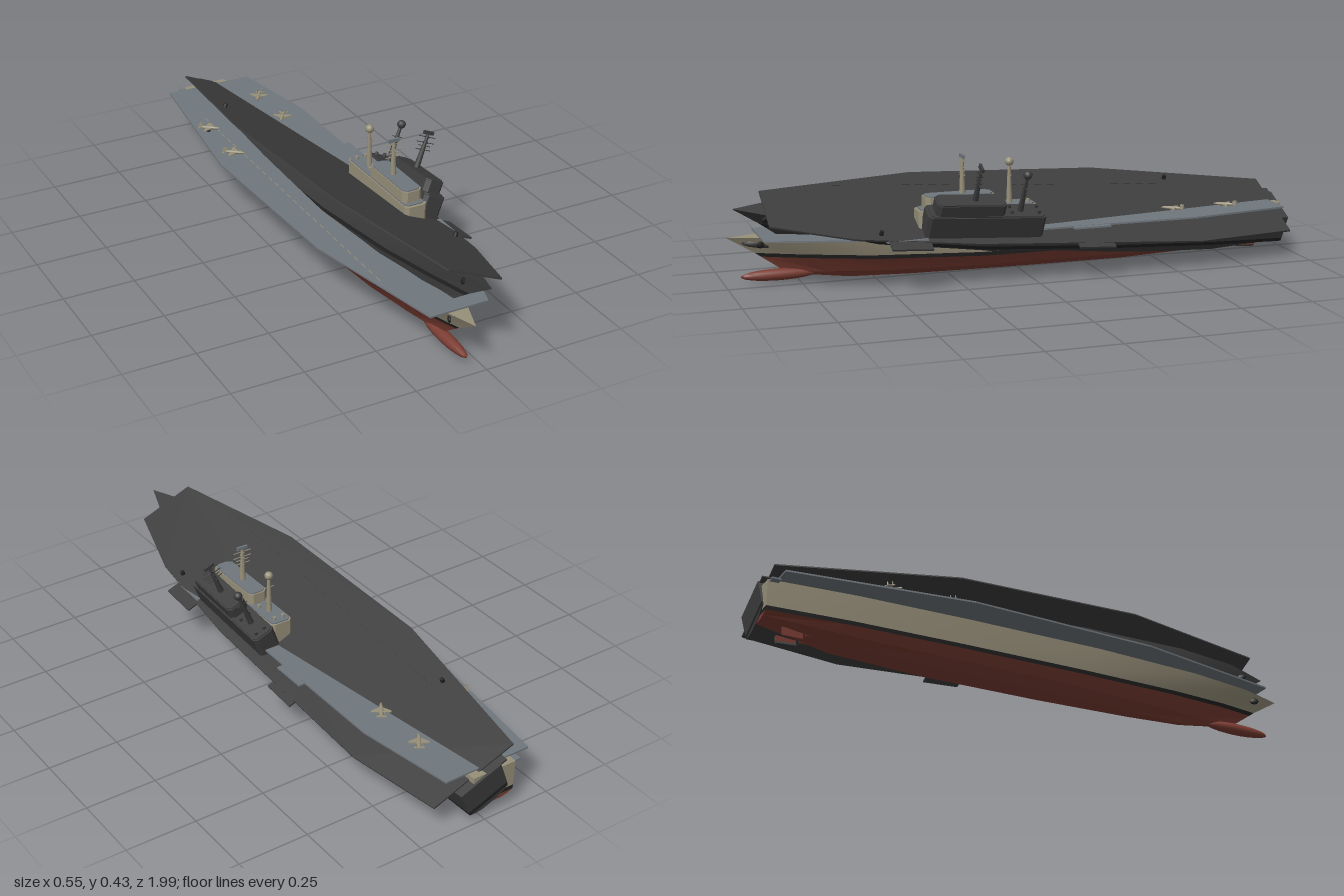
import * as THREE from 'three';
import { toCreasedNormals } from 'three/addons/utils/BufferGeometryUtils.js';

const mat = (name, color) => Object.assign(new THREE.MeshStandardMaterial({ color }), { name });
const CX = -0.042; // hull centreline
const DECK = 0.17; // flight deck surface

// Hull rows, keel to sheer: bow z, then half-width and height at each station, stern to bow
const U = [0, 0.15, 0.35, 0.6, 0.8, 0.92, 1];
const stripeY = [0.06, 0.06, 0.06, 0.062, 0.073, 0.085, 0.093];
const stripeW = [0.078, 0.097, 0.106, 0.105, 0.077, 0.038, 0];
const keelY = [0.045, 0.012, 0, 0, 0, 0.004, 0.02];
const all = (v) => U.map(() => v);
const ROWS = {
  centre: { bow: 0.72, w: all(0), y: keelY },
  keel: { bow: 0.72, w: [0.03, 0.04, 0.042, 0.038, 0.022, 0.01, 0], y: keelY },
  chine: { bow: 0.8, w: [0.055, 0.08, 0.086, 0.084, 0.055, 0.024, 0], y: [0.05, 0.03, 0.025, 0.025, 0.025, 0.03, 0.037] },
  low: { bow: 0.88, w: stripeW, y: stripeY },
  high: { bow: 0.9, w: stripeW.map((v) => v * 1.02), y: stripeY.map((v) => v + 0.014) },
  sheer: { bow: 0.995, w: [0.082, 0.105, 0.115, 0.115, 0.092, 0.055, 0], y: all(0.165) },
  ridge: { bow: 0.995, w: all(0), y: all(0.165) },
};

// Plating between neighbouring rows, mirrored, closed at the transom
function plating(...names) {
  const out = [];
  const quad = (a, b, c, d) => out.push(...a, ...b, ...c, ...a, ...c, ...d);
  for (let n = 0; n < names.length - 1; n++) {
    const p = (k, i, s) => {
      const r = ROWS[names[n + k]];
      return [CX + s * r.w[i], r.y[i], -0.985 + U[i] * (r.bow + 0.985)];
    };
    for (let i = 0; i < U.length - 1; i++) {
      quad(p(0, i, 1), p(1, i, 1), p(1, i + 1, 1), p(0, i + 1, 1));
      quad(p(0, i, -1), p(0, i + 1, -1), p(1, i + 1, -1), p(1, i, -1));
    }
    quad(p(0, 0, 1), p(0, 0, -1), p(1, 0, -1), p(1, 0, 1));
  }
  const g = new THREE.BufferGeometry();
  g.setAttribute('position', new THREE.Float32BufferAttribute(out, 3));
  return toCreasedNormals(g, 0.35);
}

// Flat plan [x, z] raised to a prism from y0 to y1
function prism(plan, y0, y1) {
  const shape = new THREE.Shape(plan.map(([x, z]) => new THREE.Vector2(x, -z)));
  return new THREE.ExtrudeGeometry(shape, { depth: y1 - y0, bevelEnabled: false }).rotateX(-Math.PI / 2).translate(0, y0, 0);
}

function ship(name, m, aircraft) {
  const group = new THREE.Group();
  group.name = name;
  const add = (part, geo, material, x = 0, y = 0, z = 0, parent = group) => {
    const mesh = new THREE.Mesh(geo, material);
    mesh.name = part;
    mesh.position.set(x, y, z);
    parent.add(mesh);
    return mesh;
  };
  const box = (part, material, x, y, z, w, h, d, parent) =>
    add(part, new THREE.BoxGeometry(w, h, d), material, x, y, z, parent);

  // Hull
  add('lowerHull', plating('centre', 'keel', 'chine', 'low'), m.red);
  add('waterlineStripe', plating('low', 'high'), m.black);
  add('upperHull', plating('high', 'sheer', 'ridge'), m.wall);
  add('bowBulb', new THREE.SphereGeometry(1, 16, 12).scale(0.021, 0.02, 0.13), m.red, CX, 0.028, 0.82);
  for (const s of [-1, 1]) {
    box('rudder', m.red, CX + s * 0.03, 0.03, -0.875, 0.008, 0.045, 0.07);
    const shaft = add('propellerShaft', new THREE.CylinderGeometry(0.005, 0.005, 0.16, 8), m.red, CX + s * 0.03, 0.025, -0.75);
    shaft.rotation.x = Math.PI / 2;
    const anchor = add('anchor', new THREE.SphereGeometry(1, 8, 6).scale(0.006, 0.012, 0.016), m.black, CX + s * 0.028, 0.14, 0.885);
    anchor.rotation.y = s * 0.4;
  }

  // Flight deck and its edge platforms
  add('flightDeck', prism([[-0.14, 0.89], [0.068, 0.89], [0.145, 0.62], [0.18, 0.2], [0.182, -0.6],
    [0.125, -0.955], [-0.2, -0.955], [-0.277, -0.33], [-0.25, 0.35]], 0.164, DECK), m.deck);
  box('edgeLift', m.deck, 0.183, 0.166, -0.205, 0.044, 0.006, 0.13);
  box('edgeLift', m.deck, 0.18, 0.166, 0.44, 0.048, 0.006, 0.14);
  box('sternPlatform', m.deck, -0.12, 0.16, -0.965, 0.06, 0.006, 0.03);
  for (let i = 0; i < 28; i++)
    box('runwayDash', m.wall, -0.172, DECK + 0.0005, 0.62 - i * 0.048, 0.003, 0.001, 0.028);
  for (const [x, z] of [[-0.205, -0.59], [0.12, 0.53]]) {
    add('deckGun', new THREE.CylinderGeometry(0.007, 0.008, 0.014, 8), m.black, x, DECK + 0.007, z);
  }

  // Island: long lower block, taller bridge at the front
  const cut = (x0, x1, z0, z1, c) => [[x0 + c, z1], [x1 - c, z1], [x1, z1 - c], [x1, z0 + c],
    [x1 - c, z0], [x0 + c, z0], [x0, z0 + c], [x0, z1 - c]];
  add('islandBase', prism(cut(0.064, 0.146, -0.025, 0.385, 0.012), DECK, 0.248), m.wall);
  add('islandRoof', prism(cut(0.068, 0.142, -0.02, 0.375, 0.012), 0.248, 0.252), m.deck);
  add('bridge', prism(cut(0.069, 0.141, 0.12, 0.36, 0.014), 0.25, 0.291), m.wall);
  add('bridgeRoof', prism(cut(0.072, 0.138, 0.125, 0.355, 0.014), 0.291, 0.295), m.deck);
  for (const x of [0.088, 0.122])
    for (const z of [0.0, 0.095]) add('roofVent', new THREE.CylinderGeometry(0.006, 0.006, 0.012, 8), m.wall, x, 0.257, z);

  // Masts with cross yards
  const mast = (z, y0, y1, yards) => {
    add('mast', new THREE.CylinderGeometry(0.005, 0.011, y1 - y0, 8), m.wall, 0.104, (y0 + y1) / 2, z);
    for (const [y, w] of yards) {
      box('yard', m.wall, 0.104, y, z, w, 0.002, 0.003);
      box('yard', m.wall, 0.104, y, z, 0.003, 0.002, w * 0.4);
    }
  };
  mast(0.225, 0.293, 0.415, [[0.404, 0.068], [0.384, 0.07], [0.372, 0.05], [0.358, 0.06]]);
  box('radarPanel', m.deck, 0.104, 0.419, 0.225, 0.04, 0.012, 0.008);
  mast(0.06, 0.25, 0.385, [[0.345, 0.04]]);
  add('radarDome', new THREE.SphereGeometry(0.015, 12, 8), m.wall, 0.104, 0.391, 0.06);

  // Parked aircraft
  for (const [x, z, turn] of aircraft) {
    const plane = new THREE.Group();
    plane.name = 'aircraft';
    plane.position.set(x, DECK, z);
    plane.rotation.y = turn;
    group.add(plane);
    add('fuselage', new THREE.SphereGeometry(1, 10, 8).scale(0.007, 0.006, 0.042), m.wall, 0, 0.013, 0, plane);
    add('wings', prism([[0, 0.016], [0.033, -0.006], [0.033, -0.014], [-0.033, -0.014], [-0.033, -0.006]], 0.012, 0.015), m.wall, 0, 0, 0, plane);
    add('tailplane', prism([[0, -0.022], [0.017, -0.035], [0.017, -0.04], [-0.017, -0.04], [-0.017, -0.035]], 0.012, 0.014), m.wall, 0, 0, 0, plane);
    for (const s of [-1, 1]) {
      box('fin', m.wall, s * 0.008, 0.019, -0.034, 0.002, 0.013, 0.012, plane);
      box('wheelLeg', m.wall, s * 0.008, 0.005, -0.005, 0.003, 0.01, 0.004, plane);
    }
  }
  return group;
}

export function createModel() {
  const black = mat('waterline black', 0x222222);
  const dark = mat('charcoal', 0x3d3d3d);
  const paint = {
    red: mat('hull red', 0x7b3d33), wall: mat('warm grey', 0x97907a), deck: mat('deck grey', 0x70777d), black,
  };
  const model = new THREE.Group();
  model.name = 'carriers';
  model.add(ship('paintedShip', paint,
    [[0.075, -0.75, -0.6], [0.075, -0.55, -0.6], [-0.2, -0.59, 0.9], [-0.205, -0.37, 0.9]]));

  // Charcoal hulk overlapping the first ship, rolled to one side with its bow raised
  const hulk = ship('listingShip', { red: dark, wall: dark, deck: dark, black }, []);
  hulk.rotation.set(-0.061, 0, -0.4);
  hulk.position.set(-0.008, 0.045, 0);
  model.add(hulk);
  return model;
}
